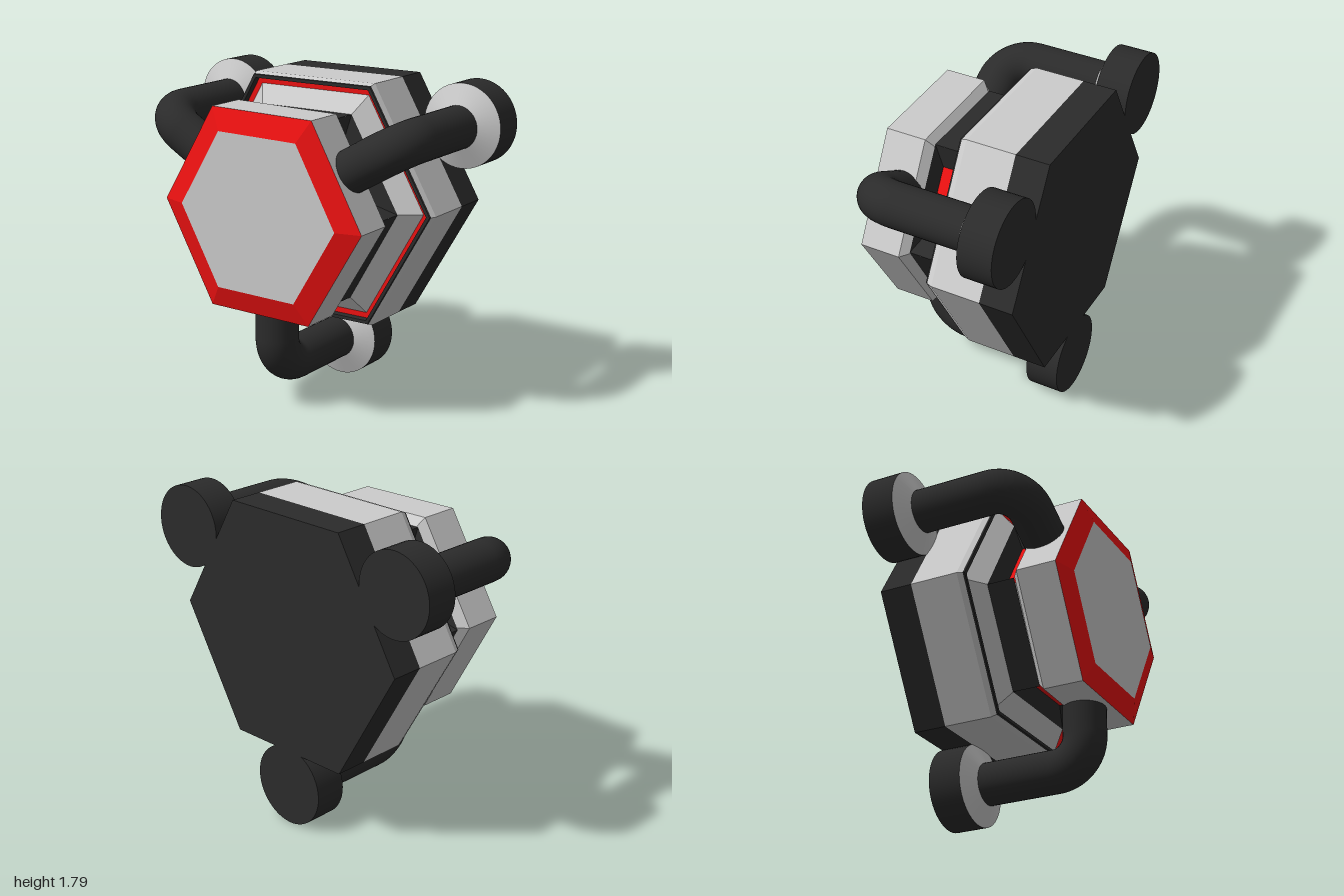
import * as THREE from 'three';

const flat = (color) => new THREE.MeshStandardMaterial({ color, flatShading: true });
const smooth = (color) => new THREE.MeshStandardMaterial({ color });
const GREY = 0xcccccc, DARK = 0x2b2b2b, RED = 0xee1111;

function add(parent, name, geometry, material) {
  const mesh = new THREE.Mesh(geometry, material);
  mesh.name = name;
  parent.add(mesh);
  return mesh;
}

// Hexagonal shell around z from [radius, z] pairs, one corner on +x
function hex(parent, name, color, profile) {
  const points = profile.map(([r, z]) => new THREE.Vector2(r, z));
  const geometry = new THREE.LatheGeometry(points, 6, Math.PI / 6).rotateX(Math.PI / 2);
  return add(parent, name, geometry, flat(color));
}

// Four-cornered faces, corners counter-clockwise from outside
function quads(list) {
  const positions = list.flatMap(([a, b, c, d]) => [a, b, c, a, c, d].flat());
  const geometry = new THREE.BufferGeometry();
  geometry.setAttribute('position', new THREE.Float32BufferAttribute(positions, 3));
  geometry.computeVertexNormals();
  return geometry;
}

// Rectangle facing +y at height n
const rect = (t, n, z0, z1) => [[-t, n, z1], [t, n, z1], [t, n, z0], [-t, n, z0]];

export function createModel() {
  const model = new THREE.Group();
  const body = new THREE.Group();
  body.name = 'body';
  body.position.y = 1.118;
  model.add(body);

  // Base: dark back plate, grey housing, dark lip, red groove, grey shoulder
  hex(body, 'backPlate', DARK, [[0, -0.51], [0.78, -0.51], [0.78, -0.32]]);
  hex(body, 'housing', GREY, [[0.78, -0.32], [0.78, -0.04], [0.768, -0.01]]);
  hex(body, 'rim', DARK, [[0.768, -0.01], [0.764, 0], [0.742, 0], [0.74, -0.04]]);
  hex(body, 'redGroove', RED, [[0.74, -0.04], [0.704, -0.04]]);
  hex(body, 'shoulder', GREY, [[0.704, -0.04], [0.59, 0.04], [0, 0.04]]);

  // Neck: plain sides alternate with sides that hold a recessed red window
  const outer = rect(0.295, 0.511, 0.04, 0.2);
  const inner = rect(0.18, 0.415, 0.08, 0.17);
  const walls = outer.map((corner, i) => {
    const j = (i + 1) % 4;
    return [corner, outer[j], inner[j], inner[i]];
  });
  for (let i = 0; i < 3; i++) {
    const turn = (i * 2 * Math.PI) / 3;
    add(body, 'neckSide', quads([outer]), flat(DARK)).rotation.z = turn;
    add(body, 'windowRecess', quads(walls), flat(DARK)).rotation.z = turn + Math.PI / 3;
    add(body, 'redWindow', quads([inner]), flat(RED)).rotation.z = turn + Math.PI / 3;
  }

  // Head: turned very slightly, with a red bevel around the front face
  const head = new THREE.Group();
  head.name = 'head';
  head.rotation.z = -0.018;
  body.add(head);
  hex(head, 'headBlock', GREY, [[0, 0.2], [0.585, 0.2], [0.64, 0.24], [0.64, 0.47]]);
  hex(head, 'redBevel', RED, [[0.64, 0.47], [0.5, 0.51]]);
  hex(head, 'frontFace', GREY, [[0.5, 0.51], [0, 0.51]]);

  // Three arms: a bent pipe from the head back to a round foot
  const reach = 0.885, pipeZ = 0.32, bend = 0.17;
  const path = new THREE.CurvePath();
  const v = (y, z) => new THREE.Vector3(0, y, z);
  const k = bend * 0.448;
  path.add(new THREE.LineCurve3(v(reach, -0.3), v(reach, pipeZ - bend)));
  path.add(new THREE.CubicBezierCurve3(v(reach, pipeZ - bend), v(reach, pipeZ - k),
    v(reach - k, pipeZ), v(reach - bend, pipeZ)));
  path.add(new THREE.LineCurve3(v(reach - bend, pipeZ), v(0.48, pipeZ)));
  for (let i = 0; i < 3; i++) {
    const arm = new THREE.Group();
    arm.name = 'arm';
    arm.rotation.z = Math.PI / 3 + (i * 2 * Math.PI) / 3;
    body.add(arm);
    add(arm, 'pipe', new THREE.TubeGeometry(path, 64, 0.12, 32), smooth(DARK));
    const foot = new THREE.CylinderGeometry(0.233, 0.233, 0.19, 48).rotateX(Math.PI / 2);
    add(arm, 'foot', foot, smooth(DARK)).position.set(0, reach, -0.415);
    const collar = new THREE.CylinderGeometry(0.12, 0.233, 0.05, 48, 1, true).rotateX(Math.PI / 2);
    add(arm, 'collar', collar, smooth(GREY)).position.set(0, reach, -0.295);
  }
  return model;
}
